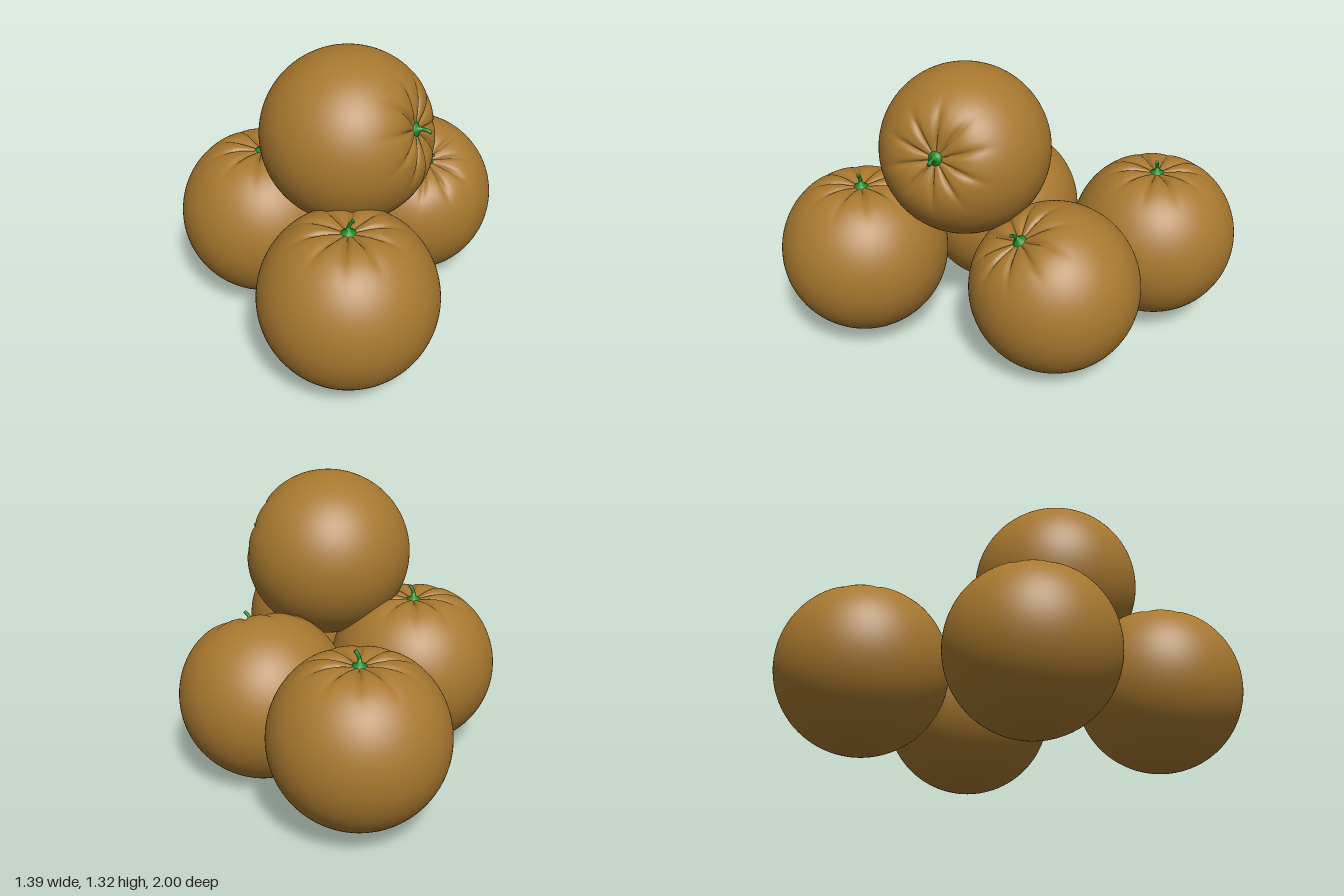
import * as THREE from 'three';
import { mergeVertices } from 'three/addons/utils/BufferGeometryUtils.js';

const RADIUS = 0.387;
const GROOVES = 10;

// Round body: a sphere dented around the stem, with creases fanning out of the dent
function bodyGeometry() {
  const geo = new THREE.SphereGeometry(1, 120, 72);
  geo.deleteAttribute('uv');
  geo.deleteAttribute('normal');
  const pos = geo.attributes.position;
  for (let i = 0; i < pos.count; i++) {
    const t = Math.acos(THREE.MathUtils.clamp(pos.getY(i), -1, 1)) / Math.PI;
    const theta = Math.PI * Math.pow(t, 1.4); // denser rings near the stem
    const phi = Math.atan2(pos.getZ(i), pos.getX(i));
    const dent = 0.065 * Math.exp(-Math.pow(theta / 0.38, 2));
    const fade = Math.pow(theta / 0.32, 2) * Math.exp(1 - Math.pow(theta / 0.32, 2));
    const crease = Math.pow(1 - Math.abs(Math.sin(phi * GROOVES / 2)), 2);
    const r = RADIUS - dent - fade * (0.02 * crease - 0.004);
    pos.setXYZ(i, r * Math.sin(theta) * Math.cos(phi), r * Math.cos(theta), r * Math.sin(theta) * Math.sin(phi));
  }
  const merged = mergeVertices(geo, 1e-5);
  merged.computeVertexNormals();
  return merged;
}

export function createModel() {
  const model = new THREE.Group();
  const skin = new THREE.MeshStandardMaterial({ color: 0xa8782f });
  const green = new THREE.MeshStandardMaterial({ color: 0x1f8a24 });

  const body = bodyGeometry();

  // Flared foot of the stem
  const foot = new THREE.LatheGeometry(
    [[0.034, 0.312], [0.032, 0.325], [0.02, 0.331], [0.011, 0.341], [0.008, 0.355], [0, 0.355]]
      .map(([x, y]) => new THREE.Vector2(x, y)), 20);

  // Stalk bending over to one side
  const path = new THREE.CatmullRomCurve3([
    new THREE.Vector3(0, 0.325, 0), new THREE.Vector3(0.001, 0.35, 0),
    new THREE.Vector3(0.007, 0.37, 0), new THREE.Vector3(0.02, 0.387, 0),
  ]);
  const stalk = new THREE.TubeGeometry(path, 16, 0.008, 12);
  const tip = new THREE.CircleGeometry(0.008, 12);
  const tipTurn = new THREE.Quaternion().setFromUnitVectors(new THREE.Vector3(0, 0, 1), path.getTangent(1));

  function addPart(parent, name, geometry, material) {
    const mesh = new THREE.Mesh(geometry, material);
    mesh.name = name;
    parent.add(mesh);
    return mesh;
  }

  // Each fruit: name, centre, direction of its stem
  const fruits = [
    ['backFruit', [-0.31, 0.425, -0.614], [0, 1, 0]],
    ['middleFruit', [-0.31, 0.425, 0.172], [0, 1, 0]],
    ['frontFruit', [0.31, 0.425, 0.612], [0, 1, 0]],
    ['tiltedFruit', [0.25, 0.387, -0.308], [0.356, 0.85, 0.388]],
    ['topFruit', [0.117, 0.934, 0.172], [0.96, 0.28, 0]],
  ];
  for (const [name, centre, axis] of fruits) {
    const fruit = new THREE.Group();
    fruit.name = name;
    addPart(fruit, 'body', body, skin);
    addPart(fruit, 'stemFoot', foot, green);
    addPart(fruit, 'stalk', stalk, green);
    const cap = addPart(fruit, 'stalkTip', tip, green);
    cap.position.copy(path.getPoint(1));
    cap.quaternion.copy(tipTurn);
    fruit.position.set(...centre);
    fruit.quaternion.setFromUnitVectors(new THREE.Vector3(0, 1, 0), new THREE.Vector3(...axis).normalize());
    model.add(fruit);
  }
  return model;
}
